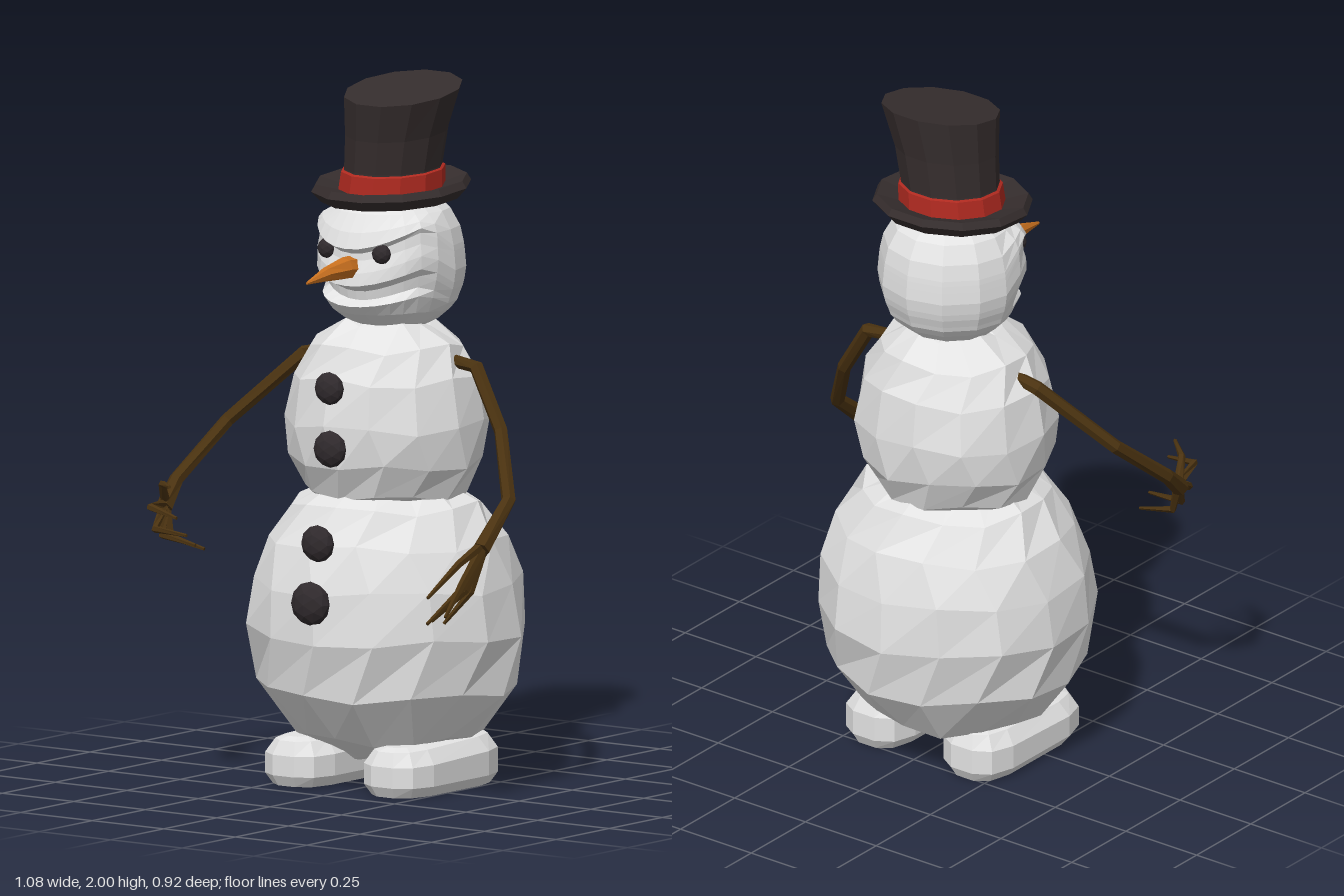
import * as THREE from 'three';

const V = (x, y, z) => new THREE.Vector3(x, y, z);
const mat = (name, color) => {
  const m = new THREE.MeshStandardMaterial({ color, flatShading: true });
  m.name = name;
  return m;
};

// Skins a list of equal-length rings and closes both ends.
function loft(rings) {
  const n = rings[0].length, pos = [], idx = [];
  const add = p => pos.push(p.x, p.y, p.z) / 3 - 1;
  rings.forEach(r => r.forEach(add));
  for (let i = 0; i < rings.length - 1; i++) {
    for (let j = 0; j < n; j++) {
      const k = (j + 1) % n, a = i * n + j, b = i * n + k;
      idx.push(a, b, b + n, a, b + n, a + n);
    }
  }
  const centre = r => r.reduce((s, p) => s.add(p), V(0, 0, 0)).divideScalar(n);
  const lo = add(centre(rings[0])), hi = add(centre(rings[rings.length - 1]));
  const top = (rings.length - 1) * n;
  for (let j = 0; j < n; j++) {
    const k = (j + 1) % n;
    idx.push(lo, k, j, hi, top + j, top + k);
  }
  const g = new THREE.BufferGeometry();
  g.setAttribute('position', new THREE.Float32BufferAttribute(pos, 3));
  g.setIndex(idx);
  g.computeVertexNormals();
  return g;
}

// Horizontal ring; slope lowers the front and raises the back.
function ring(y, r, cx, cz, n, slope = 0, turn = 0) {
  return Array.from({ length: n }, (_, j) => {
    const a = turn + j / n * Math.PI * 2;
    return V(cx + r * Math.sin(a), y - slope * r * Math.cos(a), cz + r * Math.cos(a));
  });
}

// Tapered stick through points.
function stick(points, radii, n = 6) {
  return loft(points.map((p, i) => {
    const t = points[Math.min(i + 1, points.length - 1)].clone()
      .sub(points[Math.max(i - 1, 0)]).normalize();
    const u = V(0.3, 0.2, 1).cross(t).normalize(), v = t.clone().cross(u);
    return Array.from({ length: n }, (_, j) => {
      const a = j / n * Math.PI * 2;
      return p.clone().addScaledVector(u, radii[i] * Math.cos(a)).addScaledVector(v, radii[i] * Math.sin(a));
    });
  }));
}

// Slightly lumpy snowball from a [y, radius] profile.
function snowball(profile, cx, cz, n, zScale, seed) {
  return loft(profile.map(([y, r], i) => ring(y, r, cx, cz, n, 0, 0.1 * Math.sin(i * 2 + seed)).map((p, j) => {
    const w = 1 + 0.015 * Math.sin(j * 2.3 + i * 1.7 + seed);
    return V(cx + (p.x - cx) * w, y + 0.012 * Math.sin(j * 1.9 + i + seed), cz + (p.z - cz) * w * zScale);
  })));
}

// Head: fine columns at the face; rows are [y, radius, upward curve, push].
function headGeometry(cx, cz) {
  const rows = [[1.29, 0.08, 0, 0], [1.315, 0.13, 0, 0], [1.345, 0.165, 0.3, 0.012],
    [1.37, 0.185, 1.2, 0.02], [1.385, 0.19, 1.5, -0.025], [1.41, 0.2, 1.6, -0.03],
    [1.43, 0.205, 1.6, 0.012], [1.465, 0.21, 1.6, 0], [1.5, 0.207, 1.6, -0.012],
    [1.52, 0.205, 2, -0.012], [1.535, 0.203, 2, 0.014], [1.58, 0.193, 1.2, 0.006],
    [1.63, 0.165, 0, 0], [1.68, 0.1, 0, 0]];
  const angles = [-150, -120, -95, -75, -60, -47, -35, -23, -11, 0, 11, 23, 35, 47, 60, 75, 95, 120, 150, 180];
  return loft(rows.map(([y, r, curve, push]) => angles.map(deg => {
    const a = deg * Math.PI / 180, d = Math.abs(deg);
    const mask = THREE.MathUtils.clamp((95 - d) / 35, 0, 1);
    const out = d < 75 ? push * Math.cos(a * 1.2) : 0;
    const x = r * Math.sin(a);
    return V(cx + x + out * Math.sin(a), y + curve * x * x * mask, cz + (r + out) * Math.cos(a));
  })));
}

// Rounded oblong boot with softened top and sole.
function footGeometry(cx) {
  const layers = [[0, 0.8, 0.93], [0.03, 1, 1], [0.095, 1, 1], [0.135, 0.72, 0.92], [0.145, 0.4, 0.8]];
  const outline = [[0.35, 0.23], [0.8, 0.2], [1, 0.13], [1, -0.13], [0.8, -0.2], [0.35, -0.23]];
  const full = [...outline, ...outline.map(([x, z]) => [-x, -z])];
  return loft(layers.map(([y, sx, sz]) =>
    full.map(([x, z]) => V(cx + x * 0.107 * sx, y - z * 0.03 * (y > 0.05 ? 1 : 0), -0.042 + z * sz))));
}

export function createModel() {
  const root = new THREE.Group();
  root.name = 'snowman';
  const snow = mat('snow', 0xe2e2e2), felt = mat('hat felt', 0x352d2d), red = mat('hat band red', 0xb02a20);
  const coal = mat('coal', 0x302a2d), carrot = mat('carrot orange', 0xc8701f), wood = mat('twig brown', 0x4a3210);
  const add = (name, geo, m, parent = root) => {
    const mesh = new THREE.Mesh(geo, m);
    mesh.name = name;
    parent.add(mesh);
    return mesh;
  };

  // Snow body
  add('lowerBody', snowball([[0.07, 0.1], [0.14, 0.26], [0.28, 0.37], [0.44, 0.4], [0.58, 0.385],
    [0.7, 0.34], [0.8, 0.27], [0.86, 0.16]], -0.02, -0.08, 14, 0.965, 1), snow);
  add('middleBody', snowball([[0.79, 0.18], [0.83, 0.235], [0.92, 0.28], [1.03, 0.293], [1.16, 0.27],
    [1.25, 0.22], [1.31, 0.13], [1.33, 0.06]], -0.025, -0.085, 13, 0.95, 4), snow);
  add('head', headGeometry(-0.015, -0.095), snow);
  for (const [name, x] of [['rightFoot', -0.185], ['leftFoot', 0.16]]) add(name, footGeometry(x), snow);

  // Coal eyes and buttons
  const lump = (name, x, y, z, r, depth) => {
    const m = add(name, new THREE.IcosahedronGeometry(r, 1), coal);
    m.position.set(x, y, z);
    m.scale.z = depth;
  };
  lump('rightEye', -0.11, 1.525, 0.083, 0.029, 0.8);
  lump('leftEye', 0.08, 1.525, 0.083, 0.029, 0.8);
  [[-0.03, 1.145, 0.18, 0.047], [-0.02, 0.975, 0.19, 0.053], [-0.015, 0.715, 0.255, 0.053], [-0.01, 0.55, 0.295, 0.063]]
    .forEach(([x, y, z, r], i) => lump('button' + (i + 1), x, y, z, r, 0.6));

  // Carrot nose
  add('nose', stick([V(-0.015, 1.48, 0.07), V(-0.015, 1.481, 0.13), V(-0.013, 1.475, 0.22), V(-0.01, 1.462, 0.312)],
    [0.034, 0.032, 0.02, 0.004], 7), carrot);

  // Leaning top hat: rings are [y, radius, x centre, slope]
  const hat = new THREE.Group();
  hat.name = 'topHat';
  root.add(hat);
  const hatPart = (name, rows, m) =>
    add(name, loft(rows.map(([y, r, cx, s]) => ring(y, r, cx, -0.087, 12, s, 0.26))), m, hat);
  hatPart('hatBody', [[1.65, 0.15, -0.01, 0.08], [1.66, 0.2, -0.012, 0.08], [1.69, 0.227, -0.012, 0.08],
    [1.71, 0.215, -0.012, 0.08], [1.69, 0.145, -0.01, 0.08], [1.75, 0.14, -0.004, 0.08],
    [1.85, 0.147, 0.008, 0.12], [1.97, 0.168, 0.03, 0.18]], felt);
  hatPart('hatBand', [[1.685, 0.146, -0.01, 0.08], [1.69, 0.152, -0.01, 0.08], [1.742, 0.148, -0.005, 0.08],
    [1.747, 0.138, -0.004, 0.08]], red);

  // Twig arms: path of the arm, then knuckle and tip of each finger
  const arms = {
    rightArm: {
      path: [V(-0.22, 1.21, -0.09), V(-0.31, 1.19, -0.085), V(-0.475, 1.0, 0.06), V(-0.52, 0.85, 0.24), V(-0.505, 0.78, 0.32)],
      fingers: [[V(-0.48, 0.855, 0.36), V(-0.41, 0.86, 0.42)], [V(-0.465, 0.8, 0.437), V(-0.36, 0.78, 0.455)],
        [V(-0.465, 0.735, 0.415), V(-0.34, 0.73, 0.435)], [V(-0.475, 0.71, 0.365), V(-0.35, 0.695, 0.38)],
        [V(-0.475, 0.7, 0.325), V(-0.365, 0.675, 0.317)]],
    },
    leftArm: {
      path: [V(0.2, 1.21, -0.1), V(0.28, 1.2, -0.095), V(0.395, 1.035, -0.055), V(0.5, 0.86, 0.05), V(0.515, 0.74, 0.2)],
      fingers: [[V(0.51, 0.71, 0.3), V(0.48, 0.625, 0.405)], [V(0.52, 0.65, 0.3), V(0.52, 0.57, 0.375)],
        [V(0.505, 0.64, 0.27), V(0.475, 0.55, 0.4)], [V(0.5, 0.63, 0.25), V(0.435, 0.545, 0.325)],
        [V(0.49, 0.62, 0.215), V(0.43, 0.53, 0.26)]],
    },
  };
  for (const [name, { path, fingers }] of Object.entries(arms)) {
    const arm = new THREE.Group();
    arm.name = name;
    root.add(arm);
    add('twig', stick(path, [0.018, 0.021, 0.02, 0.021, 0.026]), wood, arm);
    const wrist = path[4].clone().lerp(path[3], 0.15);
    for (const [knuckle, tip] of fingers) add('finger', stick([wrist, knuckle, tip], [0.015, 0.011, 0.005], 5), wood, arm);
  }
  return root;
}
